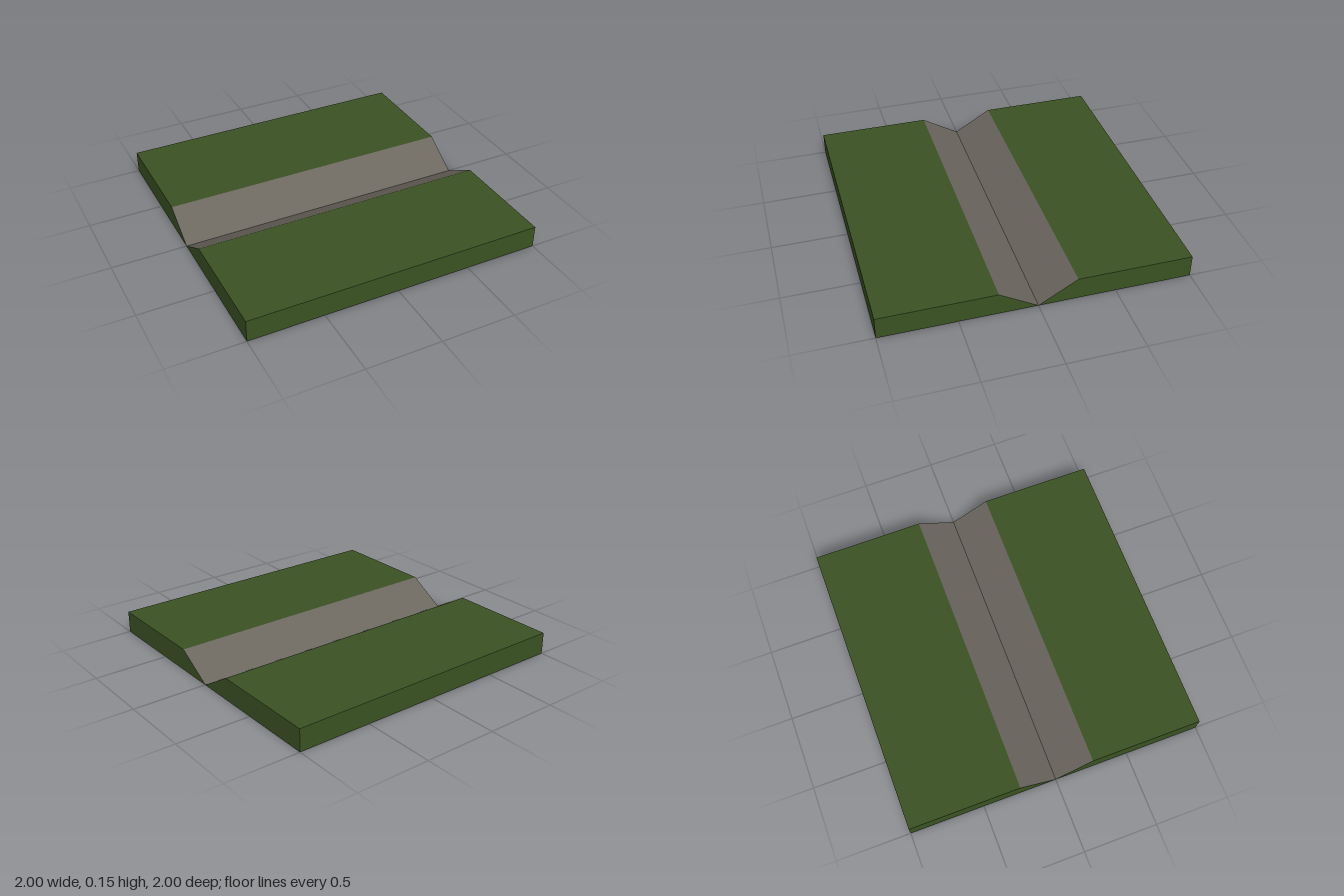
import * as THREE from 'three';

const WIDTH = 2, HEIGHT = 0.15, REACH = 1, SLOPE = 0.25;

// Tile half: a wedge-edged slab whose sloped face uses the second material.
function bankGeometry() {
  const section = new THREE.Shape([
    new THREE.Vector2(0, 0),
    new THREE.Vector2(REACH, 0),
    new THREE.Vector2(REACH, HEIGHT),
    new THREE.Vector2(SLOPE, HEIGHT),
  ]);
  const geometry = new THREE.ExtrudeGeometry(section, { depth: WIDTH, bevelEnabled: false, steps: 1 });
  geometry.translate(0, 0, -WIDTH / 2);

  // Only the slope has a normal that is neither level nor upright.
  geometry.clearGroups();
  const normal = geometry.attributes.normal;
  for (let i = 0; i < normal.count; i += 3) {
    const up = Math.abs(normal.getY(i));
    geometry.addGroup(i, 3, up > 0.1 && up < 0.99 ? 1 : 0);
  }
  return geometry;
}

export function createModel() {
  const grass = new THREE.MeshStandardMaterial({ color: 0x3b5323 });
  grass.name = 'grass green';
  const stone = new THREE.MeshStandardMaterial({ color: 0x6b665e });
  stone.name = 'stone grey';

  const model = new THREE.Group();
  model.name = 'riverbedTile';

  // Two banks meet at the bottom of the V-shaped channel.
  const geometry = bankGeometry();
  for (const [name, turn] of [['frontBank', -Math.PI / 2], ['backBank', Math.PI / 2]]) {
    const bank = new THREE.Mesh(geometry, [grass, stone]);
    bank.name = name;
    bank.rotation.y = turn;
    model.add(bank);
  }
  return model;
}
